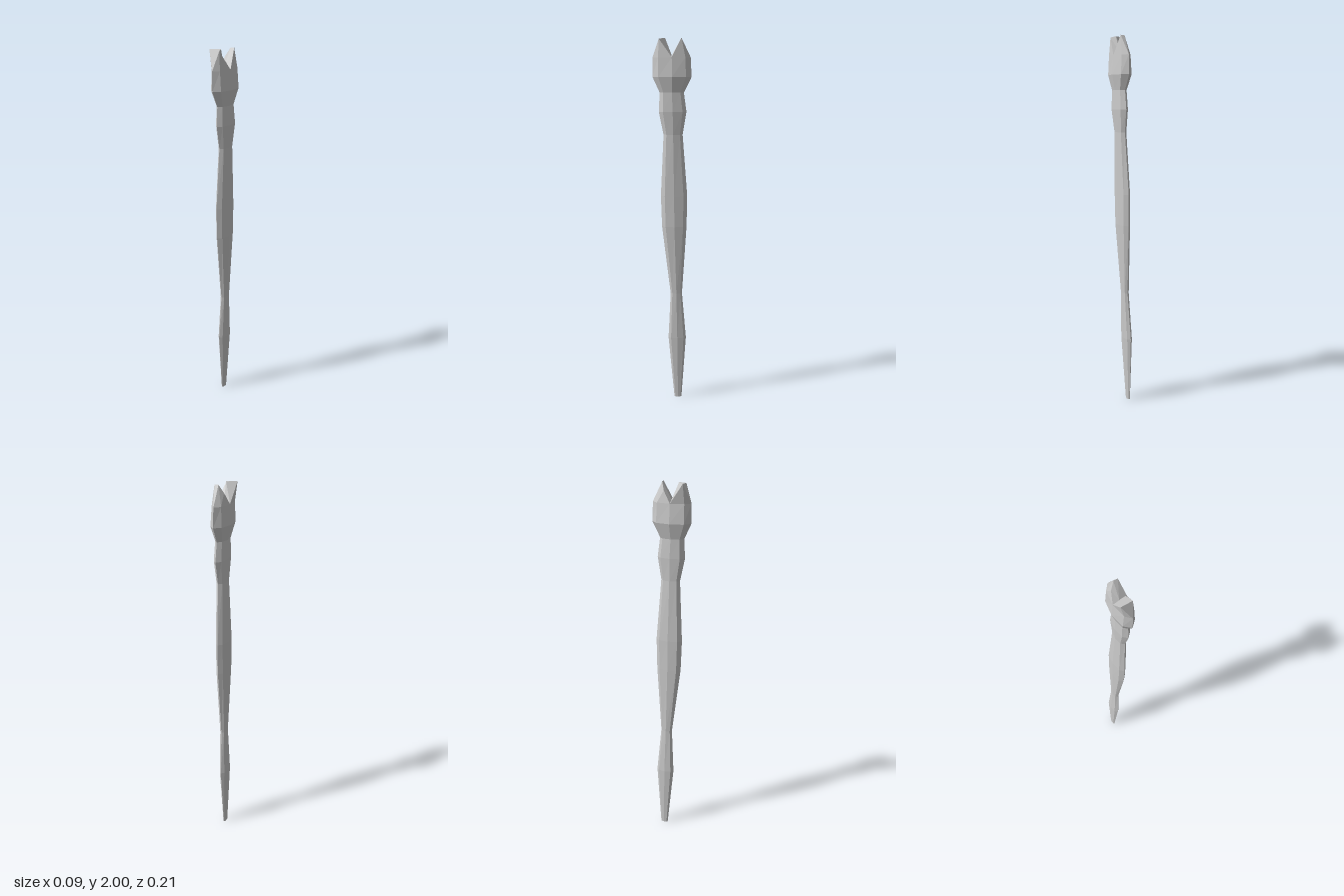
import * as THREE from 'three';

const SIDES = 8;

// Cross-sections of the shaft and head: y, xMin, xMax, zMin, zMax
const SECTIONS = [
  [0, -0.04, -0.025, -0.056, -0.016],
  [0.36, -0.047, -0.005, -0.08, 0.018],
  [0.62, -0.035, 0, -0.057, 0.006],
  [1.0, -0.038, 0.018, -0.081, 0.053],
  [1.17, -0.037, 0.02, -0.084, 0.059],
  [1.5, -0.023, 0.024, -0.058, 0.044],
  [1.62, -0.027, 0.034, -0.078, 0.069],
  [1.72, -0.024, 0.031, -0.064, 0.064],
  [1.8, -0.043, 0.046, -0.104, 0.101],
  [1.9, -0.036, 0.038, -0.1, 0.101],
];

// Eight corners of a section, from the front round through the left (+x)
function ring([y, x0, x1, z0, z1]) {
  return Array.from({ length: SIDES }, (_, k) => {
    const a = (k / SIDES) * Math.PI * 2;
    return [(x0 + x1) / 2 + ((x1 - x0) / 2) * Math.sin(a), y, (z0 + z1) / 2 + ((z1 - z0) / 2) * Math.cos(a)];
  });
}

function facetedMesh(name, triangles) {
  const geometry = new THREE.BufferGeometry();
  geometry.setAttribute('position', new THREE.Float32BufferAttribute(triangles.flat(2), 3));
  geometry.computeVertexNormals();
  const mesh = new THREE.Mesh(geometry, new THREE.MeshStandardMaterial({ color: 0xcccccc, flatShading: true }));
  mesh.name = name;
  return mesh;
}

// Side walls between consecutive sections
function loft(sections) {
  const rings = sections.map(ring);
  const tris = [];
  for (let i = 0; i < rings.length - 1; i++) {
    for (let k = 0; k < SIDES; k++) {
      const n = (k + 1) % SIDES;
      const [a, b, c, d] = [rings[i][k], rings[i][n], rings[i + 1][n], rings[i + 1][k]];
      tris.push([a, b, c], [a, c, d]);
    }
  }
  return tris;
}

export function createModel() {
  const group = new THREE.Group();
  group.name = 'notchedStaff';

  // Shaft with a flat foot
  const foot = ring(SECTIONS[0]);
  const footCap = [];
  for (let k = 1; k < SIDES - 1; k++) footCap.push([foot[0], foot[k + 1], foot[k]]);
  group.add(facetedMesh('shaft', [...loft(SECTIONS.slice(0, 8)), ...footCap]));

  // Flared head
  group.add(facetedMesh('head', loft(SECTIONS.slice(7))));

  // Two prongs rising from the rim, with a notch between them
  const r = ring(SECTIONS[9]);
  const notch = [-0.003, 1.912, 0];
  const [a, b, c] = [[-0.041, 2, 0.068], [0.02, 1.995, 0.068], [0.005, 2, 0.035]];
  group.add(facetedMesh('frontProng', [
    [r[0], b, a], [r[0], r[1], b], [r[1], r[2], b], [b, r[2], notch], [b, notch, c],
    [notch, r[6], c], [c, r[6], a], [r[6], r[7], a], [r[7], r[0], a], [a, b, c],
  ]));

  const [d, e, f] = [[0, 2, -0.05], [0.022, 2, -0.05], [-0.022, 1.96, -0.035]];
  group.add(facetedMesh('backProng', [
    [r[2], r[3], e], [r[3], r[4], e], [r[4], d, e], [r[4], r[5], d], [r[5], f, d],
    [r[5], r[6], f], [r[6], notch, f], [notch, d, f], [notch, e, d], [notch, r[2], e],
  ]));

  return group;
}
